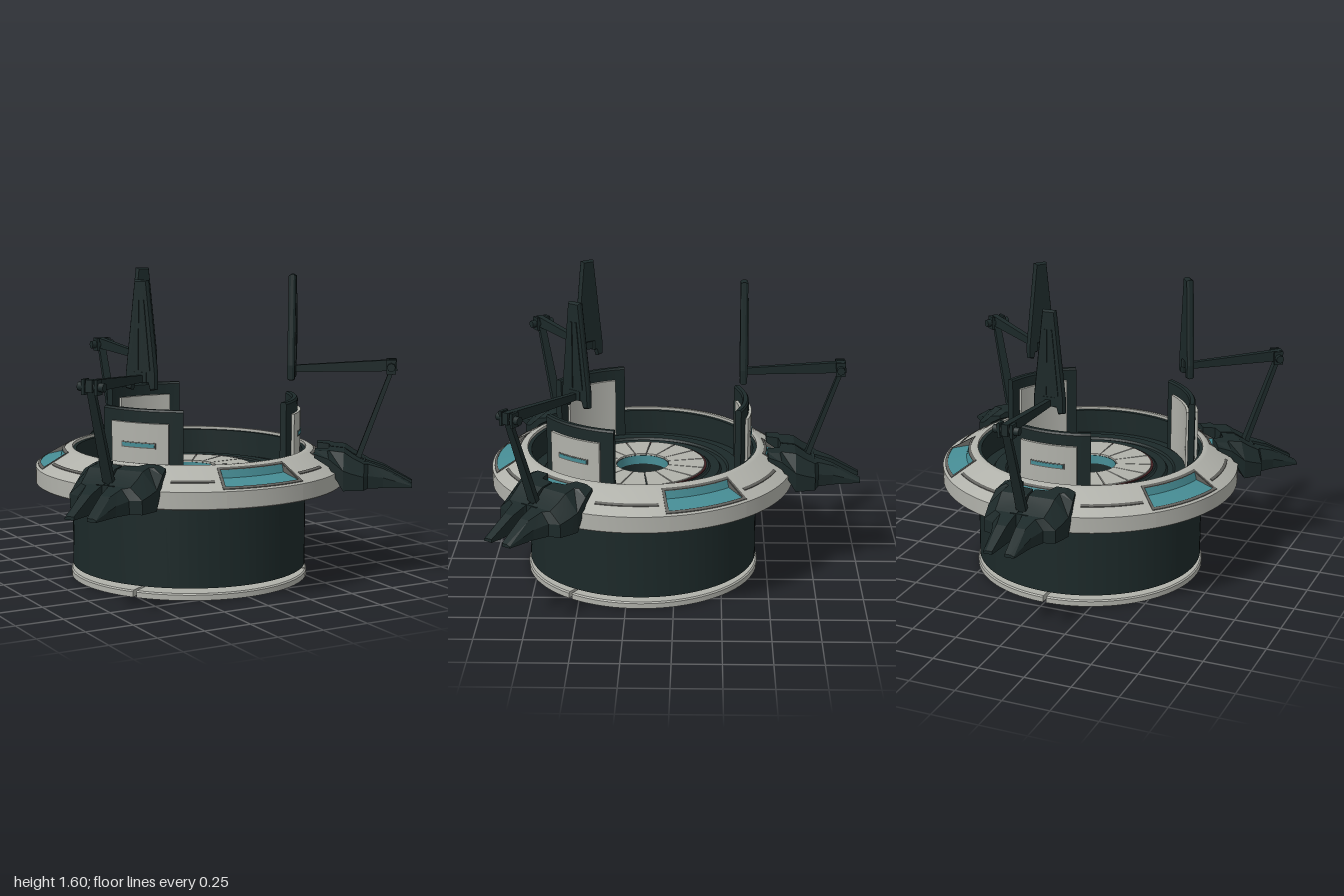
import * as THREE from 'three';
import { toCreasedNormals } from 'three/addons/utils/BufferGeometryUtils.js';

const mat = (name, color, side = THREE.FrontSide) => {
  const m = new THREE.MeshStandardMaterial({ color, side });
  m.name = name;
  return m;
};

// Skin a list of equal-length closed loops, cap both ends, face outward
function loft(loops, crease = 0.5) {
  const n = loops[0].length, pos = loops.flat(2), idx = [];
  for (let i = 0; i < loops.length - 1; i++)
    for (let j = 0; j < n; j++) {
      const a = i * n + j, b = i * n + (j + 1) % n;
      idx.push(a, b, b + n, a, b + n, a + n);
    }
  const last = (loops.length - 1) * n;
  for (let j = 1; j < n - 1; j++) idx.push(0, j + 1, j, last, last + j, last + j + 1);
  const p = i => new THREE.Vector3().fromArray(pos, i * 3);
  let volume = 0;
  for (let i = 0; i < idx.length; i += 3)
    volume += p(idx[i]).dot(p(idx[i + 1]).cross(p(idx[i + 2])));
  if (volume < 0) idx.reverse();
  const g = new THREE.BufferGeometry();
  g.setAttribute('position', new THREE.Float32BufferAttribute(pos, 3));
  g.setIndex(idx);
  return toCreasedNormals(g, crease);
}

// Sweep a closed (radius, height) profile round the y axis; angle 0 is +z
function sector(profile, mid, half) {
  const steps = Math.max(2, Math.ceil(half / 0.04)), loops = [];
  for (let i = 0; i <= steps; i++) {
    const a = mid - half + 2 * half * i / steps;
    loops.push(profile.map(([r, y]) => [r * Math.sin(a), y, r * Math.cos(a)]));
  }
  return loft(loops);
}
const rect = (r0, r1, y0, y1) => [[r0, y0], [r1, y0], [r1, y1], [r0, y1]];

// Open surface of revolution, whole or from one angle to another
const lathe = (pts, from = 0, to = Math.PI * 2) => toCreasedNormals(new THREE.LatheGeometry(
  pts.map(([r, y]) => new THREE.Vector2(r, y)), Math.ceil((to - from) / 0.065), from, to - from), 0.4);

// Thin plate lying along the sloped rim
const rimY = r => 0.685 - (r - 0.65) * 0.576;
const rimPlate = (r0, r1) =>
  [[r0, rimY(r0) - 0.004], [r1, rimY(r1) - 0.004], [r1, rimY(r1) + 0.004], [r0, rimY(r0) + 0.004]];

export function createModel() {
  const light = mat('light panel', 0xb0b1aa, THREE.DoubleSide);
  const dark = mat('dark metal', 0x1c2929, THREE.DoubleSide);
  const teal = mat('teal glass', 0x468c94, THREE.DoubleSide);
  const trim = mat('grey trim', 0x62625e);
  const red = mat('dark red', 0x401f21);

  const model = new THREE.Group();
  const body = new THREE.Group();
  body.name = 'body';
  body.position.z = 0.18;
  model.add(body);
  const add = (parent, name, geo, material) => {
    const m = new THREE.Mesh(geo, material);
    m.name = name;
    parent.add(m);
    return m;
  };
  const box = (parent, name, w, h, d, x, y, z) => {
    const m = add(parent, name, new THREE.BoxGeometry(w, h, d), dark);
    m.position.set(x, y, z);
  };
  const TAU = Math.PI * 2, ARM = 0.95, SIDE = 2.045;

  // Drum with stepped floor and central pit
  add(body, 'drum', lathe([[0, 0.06], [0.62, 0.06], [0.62, 0.675], [0.6, 0.675], [0.6, 0.54],
    [0.54, 0.54], [0.53, 0.555], [0.47, 0.555], [0.46, 0.545], [0.43, 0.545], [0.42, 0.56],
    [0.37, 0.56], [0.36, 0.568], [0.14, 0.568], [0.14, 0.555]]), dark);
  add(body, 'pitWall', lathe([[0.14, 0.568], [0.138, 0.52]]), teal);
  add(body, 'pitLowerWall', lathe([[0.138, 0.52], [0.136, 0.43]]), dark);
  add(body, 'pitFloor', lathe([[0.136, 0.43], [0, 0.43]]), red);
  add(body, 'pitHub', new THREE.CylinderGeometry(0.03, 0.03, 0.01, 6), dark).position.y = 0.435;
  add(body, 'floorRedRing', lathe([[0.35, 0.566], [0.35, 0.572], [0.325, 0.572]]), red);
  for (let i = 0; i < 15; i++)
    add(body, 'floorPanel', sector(rect(0.143, 0.338, 0.566, 0.578),
      Math.PI + i * TAU / 15, Math.PI / 15 - 0.011), light);

  // Foot ring in three pieces, split by narrow gaps
  const gaps = [-ARM, ARM, Math.PI, TAU - ARM];
  for (let i = 0; i < 3; i++)
    add(body, 'footRing', sector([[0.425, 0], [0.63, 0], [0.63, 0.028], [0.623, 0.035], [0.425, 0.035]],
      (gaps[i] + gaps[i + 1]) / 2, (gaps[i + 1] - gaps[i]) / 2 - 0.015), light);

  // Sloped rim, open at each window: [angle, half angle]
  const windows = [[0, 0.272], [ARM, 0.17], [SIDE, 0.272], [Math.PI, 0.17],
    [TAU - SIDE, 0.272], [TAU - ARM, 0.17], [TAU, 0.272]];
  const R0 = 0.674, R1 = 0.788;
  const outerRim = [[0.81, 0.5], [0.815, 0.505], [0.815, 0.59]];
  const innerRim = [[0.65, 0.685], [0.635, 0.69], [0.62, 0.69], [0.62, 0.66]];
  for (let i = 0; i < 6; i++) {
    const [a, h] = windows[i], [b, k] = windows[i + 1];
    add(body, 'rim', lathe([...outerRim, ...innerRim], a + h, b - k), light);
    add(body, 'rimOuterStrip', lathe([...outerRim, [R1, rimY(R1)]], a - h, a + h), light);
    add(body, 'rimInnerStrip', lathe([[R0, rimY(R0)], ...innerRim], a - h, a + h), light);
    add(body, 'rimSlot', sector(rimPlate(0.743, 0.757), (a + b) / 2, (b - a) / 2 - 0.33), trim);

    // Recessed window with a frame
    const pane = [[R1, rimY(R1)], [0.685, 0.632], [R0, rimY(R0)]];
    add(body, 'window', lathe(pane, a - h, a + h), teal);
    add(body, 'windowFrame', sector(rimPlate(0.66, R0), a, h + 0.018), trim);
    add(body, 'windowFrame', sector(rimPlate(R1, 0.802), a, h + 0.018), trim);
    for (const s of [-1, 1]) {
      add(body, 'windowFrame', sector(rimPlate(R0, R1), a + s * (h + 0.009), 0.009), trim);
      add(body, 'windowCheek', sector(pane, a + s * h, 0.004), trim);
    }
  }

  // One half of the claw: [distance, inner x, outer x, top y]
  const claw = [[1.18, 0.035, 0.085, 0.517], [1.03, 0.025, 0.11, 0.597], [0.95, 0.02, 0.14, 0.622],
    [0.93, 0.015, 0.2, 0.628], [0.87, 0.01, 0.215, 0.66], [0.825, 0.005, 0.225, 0.69],
    [0.75, 0.005, 0.218, 0.697], [0.74, 0.075, 0.215, 0.698], [0.675, 0.095, 0.2, 0.7]];
  const clawGeo = side => loft(claw.map(([d, xi, xo, top]) => {
    const base = d < 0.82 ? rimY(d) - 0.004 : 0.5;
    const c = (xo - xi) * 0.35, low = base + (top - base) * 0.55;
    return [[xi, base], [xo, base], [xo, low], [xo - c, top], [xi, top]].map(([x, y]) => [x * side, y, d]);
  }), 0.15);

  // Tapered bar in the local x = 0 plane: ends are [y, z, half width, half thickness]
  const bar = (a, b) => {
    const dir = new THREE.Vector2(b[1] - a[1], b[0] - a[0]).normalize();
    return loft([a, b].map(([y, z, w, t]) => [[-1, -1], [1, -1], [1, 1], [-1, 1]]
      .map(([u, v]) => [u * w, y + v * t * dir.x, z - v * t * dir.y])), 0.15);
  };

  // Hanging blade outline, notched at the foot
  const blade = new THREE.Shape([[-0.03, 1.592], [0.03, 1.592], [0.08, 1.13], [0.08, 1.06],
    [0.055, 1.055], [0.045, 1.09], [0.032, 1.09], [0.032, 1.14], [-0.032, 1.14], [-0.032, 1.09],
    [-0.045, 1.09], [-0.055, 1.055], [-0.08, 1.06], [-0.08, 1.13]].map(p => new THREE.Vector2(...p)));
  const bladeGeo = new THREE.ExtrudeGeometry(blade,
    { depth: 0.015, bevelEnabled: true, bevelThickness: 0.012, bevelSize: 0.007, bevelSegments: 1 });

  for (const a of [Math.PI, ARM, -ARM]) {
    const station = new THREE.Group();
    station.name = 'station';
    station.rotation.y = a;
    body.add(station);

    // Claw mount
    for (const s of [-1, 1]) add(station, 'claw', clawGeo(s), dark);
    box(station, 'clawBridge', 0.1, 0.12, 0.11, 0, 0.57, 0.88);

    // Folding arm
    add(station, 'strut', bar([0.61, 0.885, 0.028, 0.014], [1.12, 1.068, 0.02, 0.011]), dark);
    add(station, 'upperArm', bar([1.132, 1.09, 0.018, 0.03], [1.106, 0.55, 0.013, 0.018]), dark);
    const pin = add(station, 'elbow', new THREE.CylinderGeometry(0.022, 0.022, 0.14, 8), dark);
    pin.rotation.z = Math.PI / 2;
    pin.position.set(0, 1.125, 1.06);
    for (const s of [-1, 1]) box(station, 'elbowCheek', 0.016, 0.075, 0.05, s * 0.035, 1.125, 1.06);
    box(station, 'bladeJoint', 0.07, 0.05, 0.03, 0, 1.115, 0.55);

    // Blade with two raised outer strips
    add(station, 'blade', bladeGeo, dark).position.z = 0.535;
    for (const s of [-1, 1])
      add(station, 'bladeStrip', loft([[1.5, 0.006, 0.022], [1.15, 0.01, 0.055]].map(([y, x0, x1]) =>
        [[x0 * s, y, 0.55], [x1 * s, y, 0.55], [x1 * s, y, 0.567], [x0 * s, y, 0.567]])), dark);

    // Curved console with panels on both faces
    add(station, 'consoleFrame', sector([[0.54, 0.54], [0.575, 0.54], [0.575, 0.945], [0.568, 0.955],
      [0.547, 0.955], [0.54, 0.945]], 0, 0.4), dark);
    add(station, 'innerPanel', sector(rect(0.525, 0.542, 0.56, 0.887), 0, 0.293), light);
    add(station, 'outerPanel', sector(rect(0.573, 0.59, 0.6, 0.887), 0, 0.275), light);
    add(station, 'slotFrame', sector(rect(0.587, 0.592, 0.76, 0.79), 0, 0.165), trim);
    add(station, 'slot', sector(rect(0.588, 0.594, 0.766, 0.784), 0, 0.152), teal);
  }
  return model;
}
